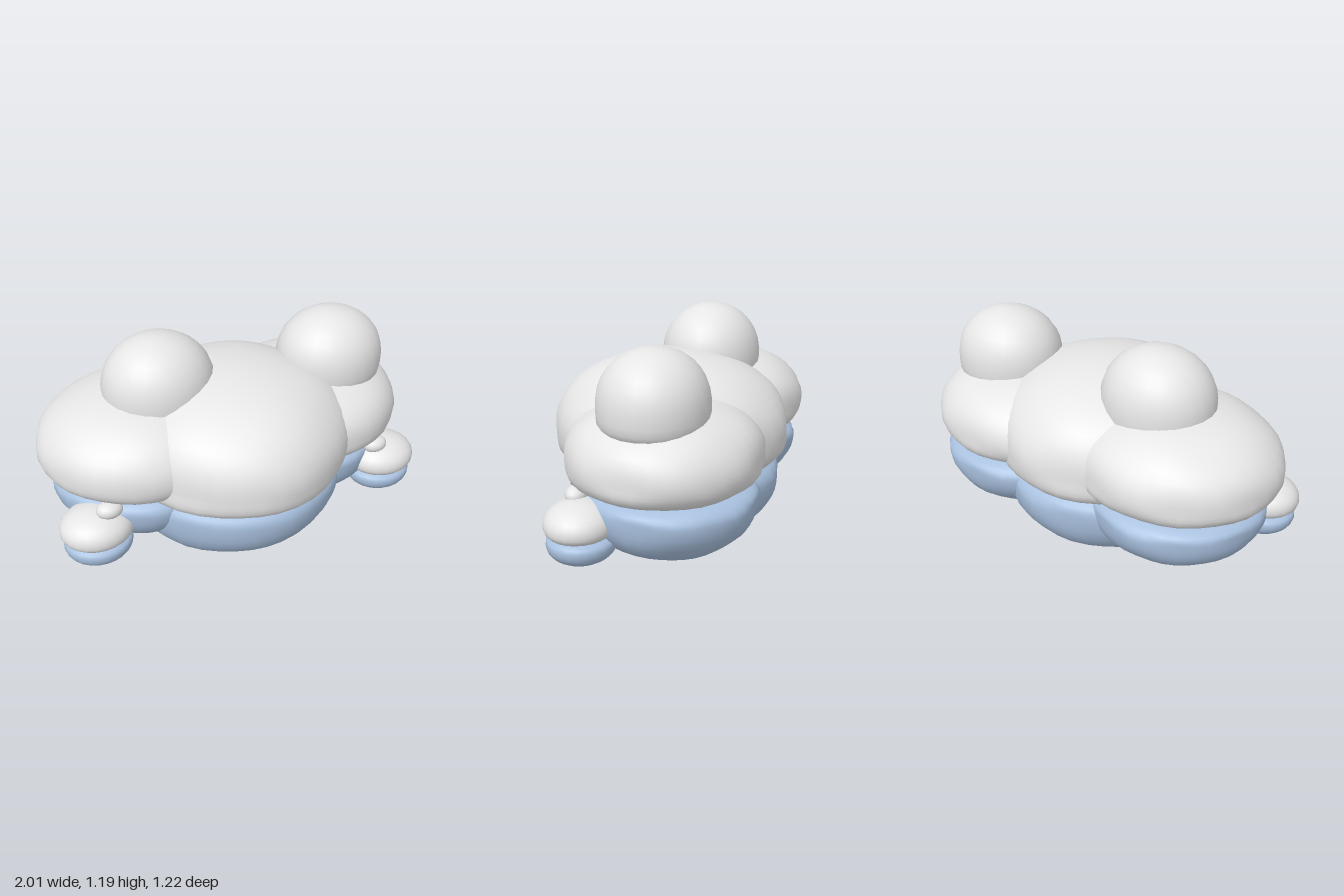
import * as THREE from 'three';
import { mergeVertices } from 'three/addons/utils/BufferGeometryUtils.js';

const white = new THREE.MeshStandardMaterial({ color: 0xe6e6e6 });
white.name = 'cloud white';
const blue = new THREE.MeshStandardMaterial({ color: 0xa9c1df });
blue.name = 'shade blue';

// Rounded lump: separate height and squareness (n) above and below its widest level,
// narrowing towards the front (point) and the back (tail)
function puff({ at, rx, rz, up, down, nUp = 2, nDown = 2, bump = 0, point = 0, tail = 0, seg = 36 }) {
  let g = new THREE.SphereGeometry(1, seg, Math.round(seg * 0.7));
  g.deleteAttribute('uv');
  g.deleteAttribute('normal');
  g = mergeVertices(g, 1e-4);
  const p = g.attributes.position;
  for (let i = 0; i < p.count; i++) {
    const x = p.getX(i), y = p.getY(i), z = p.getZ(i);
    const n = y > 0 ? nUp : nDown;
    let s = Math.pow(Math.pow(Math.hypot(x, z), n) + Math.pow(Math.abs(y), n), -1 / n);
    // gentle hand-shaped unevenness
    s *= 1 + bump * Math.sin(7 * x + at[0] * 9) * Math.sin(6 * z + 1) * Math.cos(5 * y);
    const taper = 1 - (z > 0 ? point : tail) * z * z;
    p.setXYZ(i, at[0] + x * s * rx * taper, at[1] + y * s * (y > 0 ? up : down), at[2] + z * s * rz);
  }
  g.computeVertexNormals();
  return g;
}

export function createModel() {
  const model = new THREE.Group();
  const add = (name, material, spec) => {
    const mesh = new THREE.Mesh(puff(spec), material);
    mesh.name = name;
    model.add(mesh);
  };

  // Central body, white over blue
  add('middleTop', white, { at: [0.015, 0.63, 0], rx: 0.63, rz: 0.61, up: 0.37, down: 0.205, nUp: 2.05, nDown: 4.5, bump: 0.012, point: 0.12, tail: 0.15 });
  add('middleBase', blue, { at: [0.01, 0.36, -0.01], rx: 0.6, rz: 0.56, up: 0.15, down: 0.358, nUp: 3, nDown: 2.1, bump: 0.012, point: 0.08, tail: 0.12 });

  // Side lobes
  add('rightLobeTop', white, { at: [-0.46, 0.65, -0.12], rx: 0.54, rz: 0.485, up: 0.28, down: 0.175, nUp: 2.15, nDown: 3.3, bump: 0.015 });
  add('leftLobeTop', white, { at: [0.46, 0.625, -0.1], rx: 0.52, rz: 0.475, up: 0.265, down: 0.165, nUp: 2.15, nDown: 3.3, bump: 0.015 });
  add('rightLobeBase', blue, { at: [-0.48, 0.42, -0.13], rx: 0.46, rz: 0.44, up: 0.1, down: 0.275, nUp: 3, nDown: 2.1, bump: 0.015, point: 0.15 });
  add('leftLobeBase', blue, { at: [0.48, 0.41, -0.12], rx: 0.445, rz: 0.44, up: 0.1, down: 0.275, nUp: 3, nDown: 2.1, bump: 0.015, point: 0.15 });

  // Domes on top
  add('rightDome', white, { at: [-0.35, 0.92, -0.12], rx: 0.293, rz: 0.263, up: 0.272, down: 0.15, nUp: 2.1, nDown: 4, seg: 24 });
  add('leftDome', white, { at: [0.605, 0.9, -0.09], rx: 0.288, rz: 0.263, up: 0.256, down: 0.16, nUp: 2.1, nDown: 4, seg: 24 });

  // Small side puffs: white cap, blue underside, little knob
  for (const [side, x, z, lift] of [['right', -0.808, 0.185, 0.005], ['left', 0.812, 0.203, 0]]) {
    add(side + 'HandTop', white, { at: [x, 0.365 + lift, z], rx: 0.188, rz: 0.168, up: 0.105, down: 0.072, nUp: 2, nDown: 3, seg: 24 });
    add(side + 'HandBase', blue, { at: [x - Math.sign(x) * 0.003, 0.265 + lift, z - 0.005], rx: 0.178, rz: 0.165, up: 0.055, down: 0.095, nUp: 3, nDown: 2.1, seg: 24 });
    add(side + 'HandKnob', white, { at: [x - Math.sign(x) * 0.065, 0.468 + lift * 3, z + 0.04], rx: 0.068, rz: 0.053, up: 0.042, down: 0.04, nUp: 2.3, nDown: 2.3, seg: 16 });
  }
  return model;
}
